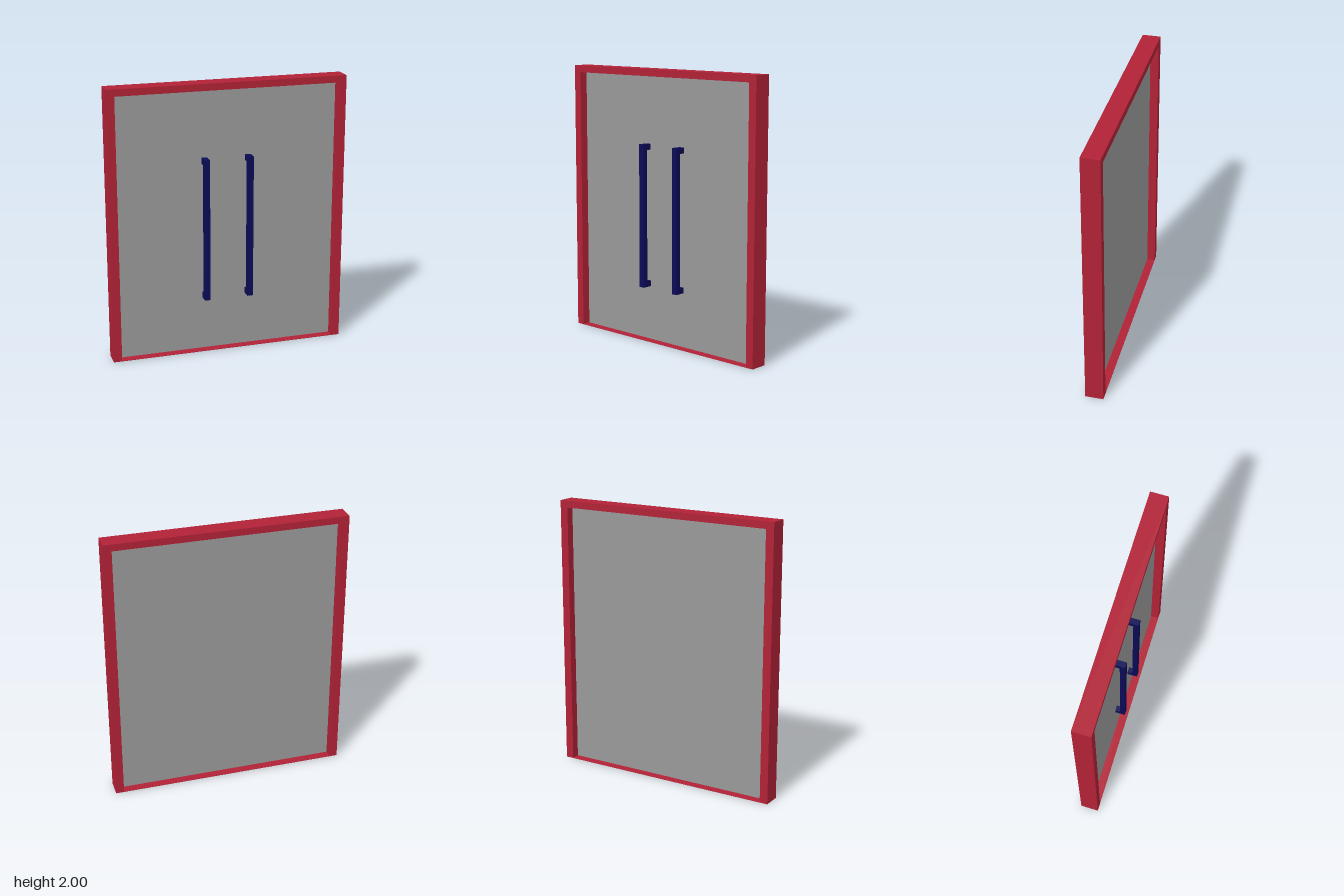
import * as THREE from 'three';

const material = (name, color) => {
  const m = new THREE.MeshStandardMaterial({ color });
  m.name = name;
  return m;
};

export function createModel() {
  const red = material('frame red', 0xb12236);
  const grey = material('panel grey', 0x999999);
  const navy = material('handle navy', 0x0b0b57);
  const model = new THREE.Group();
  model.name = 'framedDoor';

  // Box given by its lower and upper corners
  const box = (name, mat, [x0, y0, z0], [x1, y1, z1], parent = model) => {
    const mesh = new THREE.Mesh(new THREE.BoxGeometry(x1 - x0, y1 - y0, z1 - z0), mat);
    mesh.position.set((x0 + x1) / 2, (y0 + y1) / 2, (z0 + z1) / 2);
    mesh.name = name;
    parent.add(mesh);
  };

  const W = 0.87, IN = 0.81, TOP = 1.95, BACK = -0.073, FRONT = 0.06;
  const SILL = 0.003, PANEL_FRONT = -0.002;

  // Surrounding frame: one mitre-free arch with a thin sill below
  const shape = new THREE.Shape([
    [-W, 0], [-IN, 0], [-IN, TOP], [IN, TOP], [IN, 0], [W, 0], [W, 2], [-W, 2],
  ].map(([x, y]) => new THREE.Vector2(x, y)));
  const frame = new THREE.Mesh(
    new THREE.ExtrudeGeometry(shape, { depth: FRONT - BACK, bevelEnabled: false }), red);
  frame.position.z = BACK;
  frame.name = 'frame';
  model.add(frame);
  box('sill', red, [-IN, 0, BACK], [IN, SILL, FRONT]);

  // Recessed panel
  box('panel', grey, [-IN, SILL, -0.012], [IN, TOP, PANEL_FRONT]);

  // Two upright pull handles, each on a pair of stand-offs
  const Y0 = 0.405, Y1 = 1.46, BAR_BACK = 0.035, BAR_FRONT = 0.073;
  [['right', -0.188], ['left', 0.135]].forEach(([side, x]) => {
    const handle = new THREE.Group();
    handle.name = side + 'Handle';
    model.add(handle);
    const x1 = x + 0.042;
    box('handleBar', navy, [x, Y0, BAR_BACK], [x1, Y1, BAR_FRONT], handle);
    box('lowerMount', navy, [x, Y0, PANEL_FRONT], [x1, Y0 + 0.042, BAR_BACK], handle);
    box('upperMount', navy, [x, Y1 - 0.042, PANEL_FRONT], [x1, Y1, BAR_BACK], handle);
  });

  return model;
}
